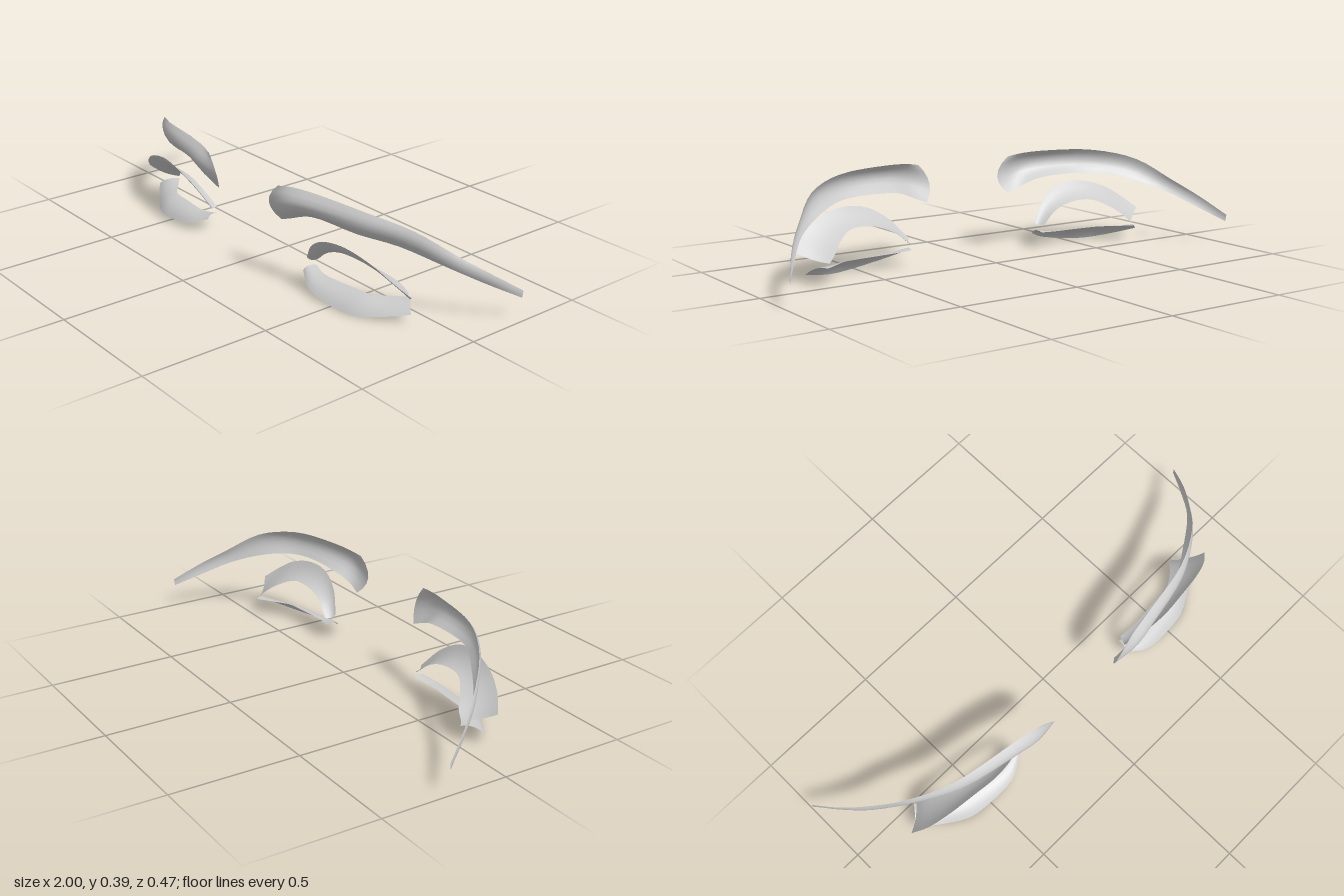
import * as THREE from 'three';

const paleGrey = new THREE.MeshStandardMaterial({ color: 0xcccccc, side: THREE.DoubleSide });
paleGrey.name = 'paleGrey';

// Each row is a cross-section: upper edge, middle, lower edge, from the nose outwards
const brow = [
  [[.212, .375, .22], [.162, .298, .222], [.195, .23, .19]],
  [[.27, .385, .207], [.26, .322, .237], [.25, .252, .193]],
  [[.37, .39, .19], [.36, .335, .223], [.34, .283, .172]],
  [[.60, .38, .145], [.585, .335, .172], [.57, .287, .148]],
  [[.76, .339, .06], [.735, .305, .085], [.70, .267, .075]],
  [[.868, .254, -.046], [.862, .233, -.03], [.845, .208, -.027]],
  [[.94, .19, -.135], [.937, .17, -.128], [.928, .148, -.13]],
  [[1, .12, -.235], [1, .106, -.233], [.998, .093, -.232]],
];

// Lash rows hold only the outer and inner edge; the middle is derived
const upperLash = [
  [[.30, .107, .155], [.318, .094, .115]],
  [[.37, .187, .19], [.39, .148, .13]],
  [[.46, .237, .207], [.473, .176, .13]],
  [[.56, .248, .20], [.57, .177, .12]],
  [[.676, .22, .18], [.64, .144, .077]],
  [[.757, .17, .15], [.68, .11, .042]],
  [[.81, .123, .112], [.71, .081, .03]],
];
const lowerLash = [
  [[.30, .057, .172], [.31, .067, .117]],
  [[.38, .027, .212], [.38, .06, .135]],
  [[.52, .005, .212], [.52, .06, .125]],
  [[.60, .001, .197], [.60, .06, .115]],
  [[.70, .018, .14], [.66, .063, .07]],
  [[.78, .04, .083], [.72, .066, .022]],
];

// Adds a gently bowed middle point to two-point rows
function bowed(rows, dy, dz) {
  return rows.map(([a, b]) => [a, [(a[0] + b[0]) / 2, (a[1] + b[1]) / 2 + dy, (a[2] + b[2]) / 2 + dz], b]);
}

// Smooth open sheet lofted through the rows; side = 1 is left, -1 is right
function sheet(rows, side, along = 28, across = 6) {
  const rails = [0, 1, 2].map(c => new THREE.CatmullRomCurve3(
    rows.map(r => new THREE.Vector3(r[c][0] * side, r[c][1], r[c][2])), false, 'centripetal'));
  const positions = [], index = [];
  for (let i = 0; i <= along; i++) {
    const [a, m, b] = rails.map(r => r.getPoint(i / along));
    const control = m.clone().multiplyScalar(2).addScaledVector(a, -.5).addScaledVector(b, -.5);
    const section = new THREE.QuadraticBezierCurve3(a, control, b);
    for (let j = 0; j <= across; j++) positions.push(...section.getPoint(j / across).toArray());
  }
  const w = across + 1;
  for (let i = 0; i < along; i++) for (let j = 0; j < across; j++) {
    const p = i * w + j, q = p + 1, r = p + w, s = r + 1;
    if (side > 0) index.push(p, q, r, q, s, r);
    else index.push(p, r, q, q, r, s);
  }
  const g = new THREE.BufferGeometry();
  g.setAttribute('position', new THREE.Float32BufferAttribute(positions, 3));
  g.setIndex(index);
  g.computeVertexNormals();
  return g;
}

export function createModel() {
  const model = new THREE.Group();
  model.name = 'browsAndLashes';
  const parts = {
    Eyebrow: brow,
    UpperLash: bowed(upperLash, -.007, .006),
    LowerLash: bowed(lowerLash, .01, .007),
  };
  for (const [name, rows] of Object.entries(parts)) {
    for (const side of [1, -1]) {
      const mesh = new THREE.Mesh(sheet(rows, side), paleGrey);
      mesh.name = (side > 0 ? 'left' : 'right') + name;
      model.add(mesh);
    }
  }
  return model;
}
